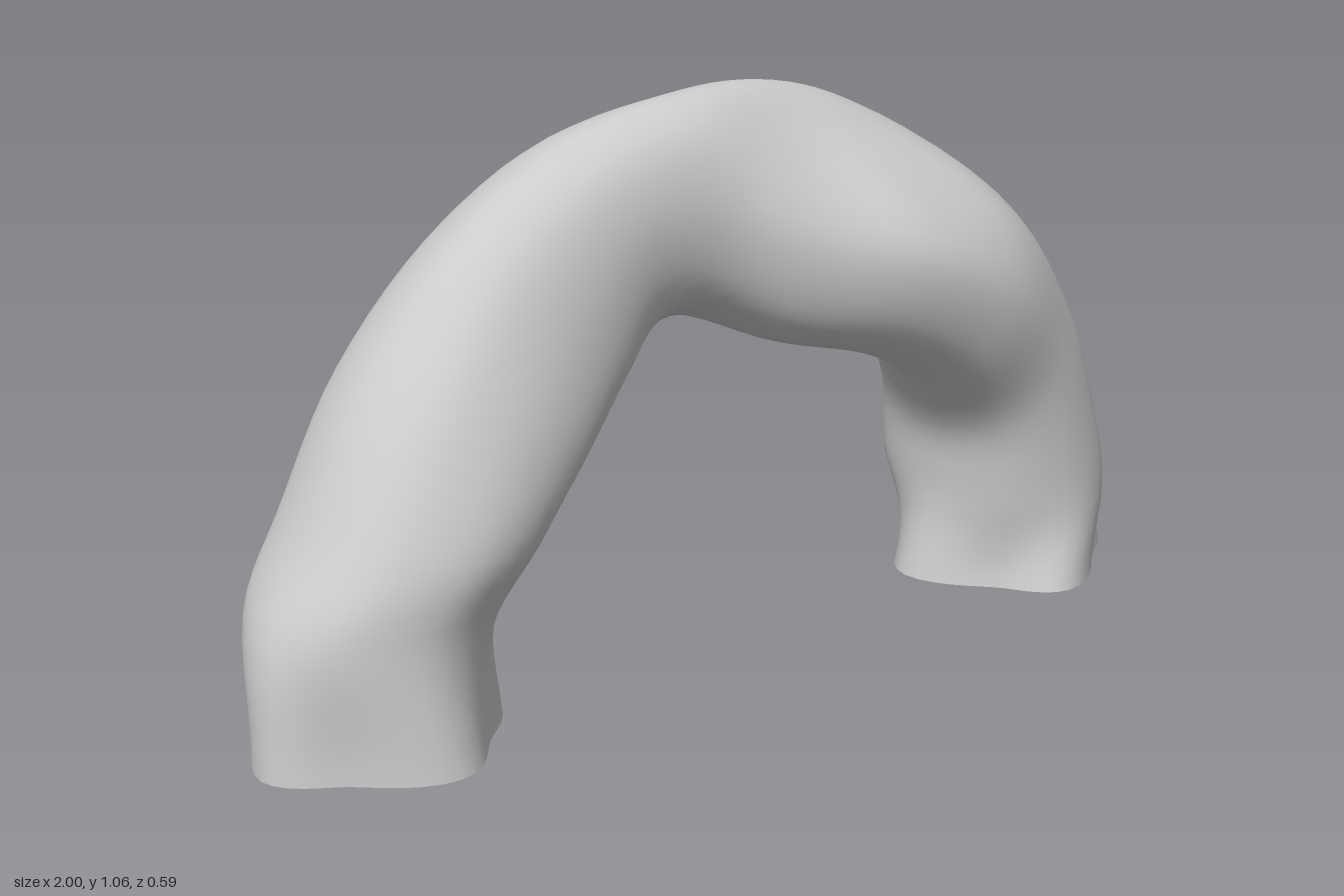
import * as THREE from 'three';

// Stations along the arch: outer x,y, inner x,y, front z, its depth from the
// outer edge (0-1), back z, its depth, z of the outer ridge, z of the inner edge
const STATIONS = [
  [-1.0, 0.04, -0.53, 0.04, 0.26, 0.55, -0.21, 0.45, 0.06, 0.04],
  [-0.98, 0.26, -0.54, 0.25, 0.23, 0.5, -0.2, 0.4, 0.05, 0.03],
  [-0.89, 0.42, -0.46, 0.38, 0.245, 0.5, -0.21, 0.42, 0.04, 0.03],
  [-0.76, 0.65, -0.35, 0.47, 0.205, 0.5, -0.23, 0.45, 0.02, 0.02],
  [-0.55, 0.865, -0.22, 0.57, 0.135, 0.5, -0.255, 0.52, 0.0, -0.02],
  [-0.3, 1.005, -0.13, 0.63, 0.1, 0.45, -0.295, 0.63, -0.03, -0.07],
  [-0.06, 1.06, -0.04, 0.64, 0.11, 0.5, -0.26, 0.72, -0.02, -0.06],
  [0.12, 1.065, 0.12, 0.58, 0.185, 0.55, -0.15, 0.5, -0.02, 0.03],
  [0.3, 1.02, 0.29, 0.54, 0.27, 0.53, -0.12, 0.35, 0.0, 0.09],
  [0.57, 0.855, 0.43, 0.46, 0.29, 0.52, -0.14, 0.4, 0.05, 0.1],
  [0.8, 0.6, 0.53, 0.33, 0.25, 0.5, -0.2, 0.5, 0.04, 0.05],
  [0.92, 0.32, 0.545, 0.22, 0.24, 0.5, -0.23, 0.5, 0.04, 0.03],
  [0.97, 0.15, 0.54, 0.13, 0.245, 0.5, -0.21, 0.45, 0.04, 0.02],
  [1.0, 0.005, 0.51, 0.005, 0.27, 0.6, -0.22, 0.45, 0.06, 0.0],
];
const RINGS = 72, SIDES = 48;

const bump = (x, centre, width) => Math.exp(-(((x - centre) / width) ** 2));

// Eight control points of one section, from the outer ridge round by the front;
// the shoulder slopes away near the crown and the lower back is hollowed beside the bulge
function sectionPoints([ox, oy, ix, iy, zf, f, zb, b, zr, zi]) {
  const at = (u, z) => new THREE.Vector3(ox + (ix - ox) * u, oy + (iy - oy) * u, z);
  const mix = THREE.MathUtils.lerp;
  const frontShoulder = 0.7 - 0.35 * bump(ox, 0.22, 0.2);
  const backShoulder = 0.7 - 0.1 * bump(ox, -0.15, 0.25);
  const backHollow = 0.74 - 0.25 * bump(ox, 0.28, 0.18);
  return [
    at(0, zr), at(f * 0.27, mix(zr, zf, frontShoulder)), at(f, zf), at(mix(f, 1, 0.72), mix(zi, zf, 0.74)),
    at(1, zi), at(mix(b, 1, 0.72), mix(zi, zb, backHollow)), at(b, zb), at(b * 0.27, mix(zr, zb, backShoulder)),
  ];
}

// Smooth ring of points; grooves split each foot into four lobes
function makeRing(controls, groove) {
  const curve = new THREE.CatmullRomCurve3(controls, true);
  const centre = new THREE.Vector3();
  controls.forEach((p) => centre.addScaledVector(p, 1 / controls.length));
  return Array.from({ length: SIDES }, (_, j) => {
    const t = j / SIDES;
    const dent = groove * (0.5 - 0.5 * Math.cos(t * Math.PI * 8));
    return curve.getPoint(t).lerp(centre, dent);
  });
}

function buildRings() {
  const sections = STATIONS.map(sectionPoints);
  const rails = sections[0].map((_, k) => new THREE.CatmullRomCurve3(sections.map((s) => s[k])));
  return Array.from({ length: RINGS + 1 }, (_, i) => {
    const t = i / RINGS;
    const groove = 0.2 * bump(Math.min(t, 1 - t), 0, 0.07);
    return makeRing(rails.map((r) => r.getPoint(t)), groove);
  });
}

function geometryFrom(points, index) {
  const g = new THREE.BufferGeometry().setFromPoints(points);
  g.setIndex(index);
  g.computeVertexNormals();
  return g;
}

function archGeometry(rings) {
  const index = [];
  for (let i = 0; i < RINGS; i++) {
    for (let j = 0; j < SIDES; j++) {
      const k = (j + 1) % SIDES;
      const a = i * SIDES + j, b = i * SIDES + k;
      index.push(a, b, a + SIDES, b, b + SIDES, a + SIDES);
    }
  }
  return geometryFrom(rings.flat(), index);
}

// Flat sole closing one end of the arch
function soleGeometry(ring, atStart) {
  const centre = new THREE.Vector3();
  ring.forEach((p) => centre.addScaledVector(p, 1 / SIDES));
  const index = [];
  for (let j = 0; j < SIDES; j++) {
    const k = (j + 1) % SIDES;
    index.push(SIDES, atStart ? k : j, atStart ? j : k);
  }
  return geometryFrom([...ring, centre], index);
}

export function createModel() {
  const group = new THREE.Group();
  group.name = 'rockArch';
  const material = new THREE.MeshStandardMaterial({ color: 0xcccccc });
  const add = (name, geometry) => {
    const mesh = new THREE.Mesh(geometry, material);
    mesh.name = name;
    group.add(mesh);
  };
  const rings = buildRings();
  add('archBody', archGeometry(rings));
  add('rightSole', soleGeometry(rings[0], true));
  add('leftSole', soleGeometry(rings[RINGS], false));

  // Stand on the ground, centred
  const box = new THREE.Box3().setFromObject(group);
  const mid = box.getCenter(new THREE.Vector3());
  group.children.forEach((m) => m.geometry.translate(-mid.x, -box.min.y, -mid.z));
  return group;
}
